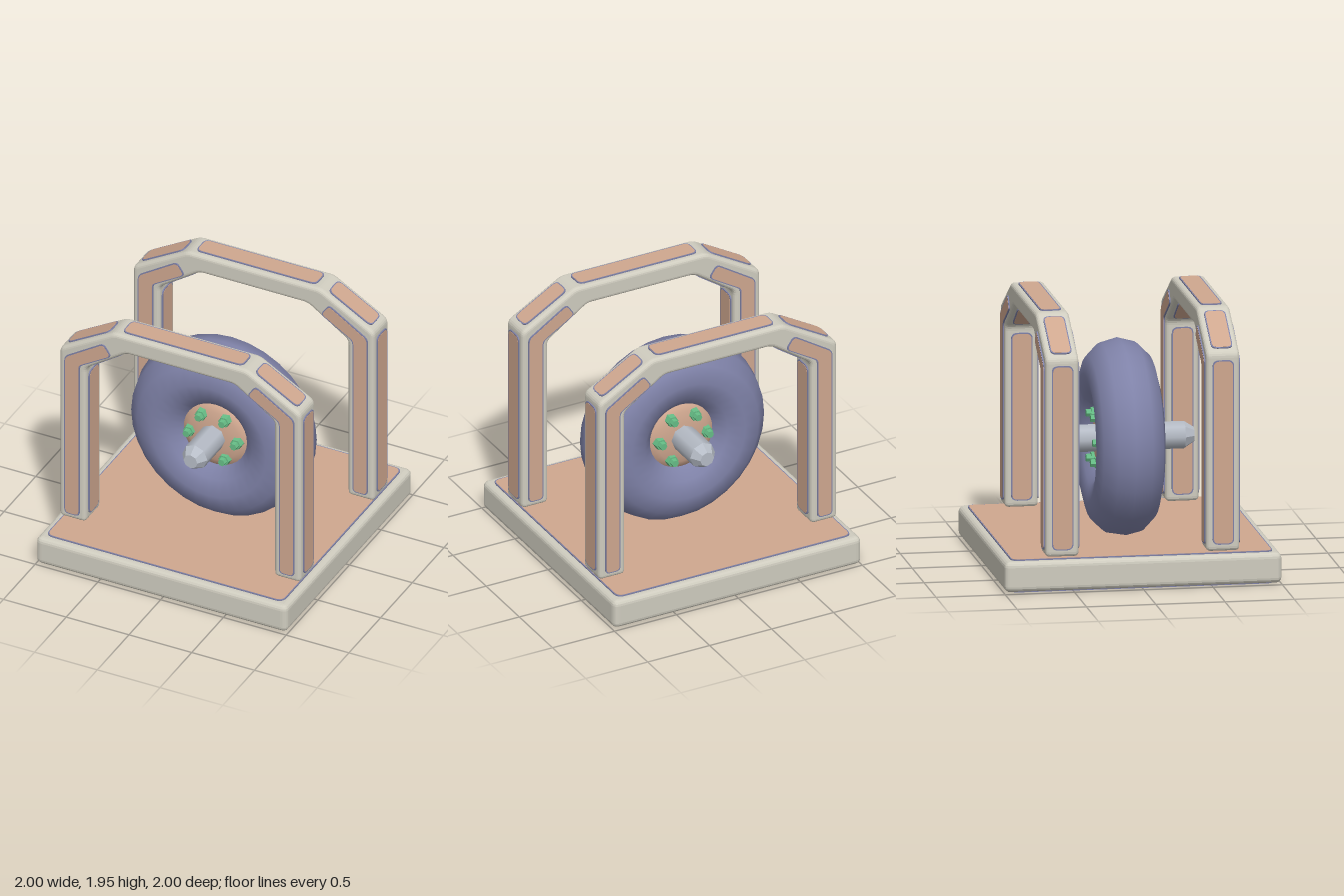
import * as THREE from 'three';

const mat = (name, color) => Object.assign(new THREE.MeshStandardMaterial({ color }), { name });
const V2 = (x, y) => new THREE.Vector2(x, y);

// Polygon with every corner rounded by about r
function roundedShape(pts, r) {
  const shape = new THREE.Shape();
  pts.forEach((p, i) => {
    const prev = pts[(i + pts.length - 1) % pts.length], next = pts[(i + 1) % pts.length];
    const a = p.clone().add(prev.clone().sub(p).setLength(r));
    const b = p.clone().add(next.clone().sub(p).setLength(r));
    if (i) shape.lineTo(a.x, a.y); else shape.moveTo(a.x, a.y);
    shape.quadraticCurveTo(p.x, p.y, b.x, b.y);
  });
  shape.closePath();
  return shape;
}

// Counter-clockwise polygon moved inward by d
function inset(pts, d) {
  return pts.map((p, i) => {
    const u = p.clone().sub(pts[(i + pts.length - 1) % pts.length]).normalize();
    const v = pts[(i + 1) % pts.length].clone().sub(p).normalize();
    const n = V2(-u.y - v.y, u.x + v.x);
    return p.clone().addScaledVector(n, d / (1 + u.dot(v)));
  });
}

const rect = (w, h) => [V2(-w / 2, -h / 2), V2(w / 2, -h / 2), V2(w / 2, h / 2), V2(-w / 2, h / 2)];

export function createModel() {
  const stone = mat('pale frame', 0xcfccbf);
  const tan = mat('tan panel', 0xcfa78f);
  const slate = mat('slate blue', 0x7f82a8);
  const steel = mat('steel', 0xb6bcc6);
  const green = mat('green bolt', 0x66bd86);

  const model = new THREE.Group();
  const add = (parent, name, geo, material) => {
    const mesh = new THREE.Mesh(geo, material);
    mesh.name = name;
    parent.add(mesh);
    return mesh;
  };
  const flat = (geo) => {
    const g = geo.toNonIndexed();
    g.computeVertexNormals();
    return g;
  };

  // Raised panel facing local +z: blue rim with a tan face
  const panel = (parent, name, pts, r) => {
    const g = new THREE.Group();
    g.name = name;
    const opts = { bevelEnabled: false, curveSegments: 5 };
    add(g, 'panelRim', new THREE.ExtrudeGeometry(roundedShape(pts, r), { ...opts, depth: 0.009 }), slate);
    const face = new THREE.ExtrudeGeometry(roundedShape(inset(pts, 0.008), r * 0.9), { ...opts, depth: 0.002 });
    add(g, 'panelFace', face, tan).position.z = 0.0085;
    parent.add(g);
    return g;
  };

  // Base slab with a panel above and below
  const slabShape = roundedShape(rect(2, 2), 0.05);
  const slab = new THREE.ExtrudeGeometry(slabShape, {
    depth: 0.14, bevelThickness: 0.04, bevelSize: 0.04, bevelOffset: -0.04, bevelSegments: 4, curveSegments: 5,
  });
  slab.translate(0, 0, -0.07).rotateX(-Math.PI / 2);
  add(model, 'baseSlab', slab, stone).position.y = 0.12;
  for (const s of [1, -1]) {
    const p = panel(model, s > 0 ? 'baseTopPanel' : 'baseBottomPanel', rect(1.89, 1.89), 0.06);
    p.rotation.x = -s * Math.PI / 2;
    p.position.y = 0.12 + s * 0.11;
  }

  // Arched frames, front and back
  const outline = [
    [0.96, 0.25], [0.96, 1.69], [0.53, 1.94], [-0.53, 1.94], [-0.96, 1.69], [-0.96, 0.25],
    [-0.75, 0.25], [-0.75, 1.57], [-0.43, 1.79], [0.43, 1.79], [0.75, 1.57], [0.75, 0.25],
  ].map(([x, y]) => V2(x, y));
  const elbow = [
    [0.795, 0.295], [0.915, 0.295], [0.915, 1.635], [0.605, 1.835], [0.54, 1.74], [0.795, 1.585],
  ].map(([x, y]) => V2(x, y));
  const elbowMirror = elbow.map((p) => V2(-p.x, p.y)).reverse();
  const beam = new THREE.ExtrudeGeometry(roundedShape(outline, 0.035), {
    depth: 0.18, bevelThickness: 0.03, bevelSize: 0.03, bevelOffset: -0.03, bevelSegments: 4, curveSegments: 4,
  });
  beam.translate(0, 0, -0.09);

  for (const side of [1, -1]) {
    const frame = new THREE.Group();
    frame.name = side > 0 ? 'frontFrame' : 'backFrame';
    frame.position.z = side * 0.58;
    model.add(frame);
    add(frame, 'archBeam', beam, stone);

    // Panels along the inner and outer edges
    outline.forEach((a, i) => {
      if (i === 5 || i === 11) return;
      const b = outline[(i + 1) % outline.length];
      const t = b.clone().sub(a);
      const p = panel(frame, i < 5 ? 'outerEdgePanel' : 'innerEdgePanel', rect(t.length() - 0.1, 0.155), 0.045);
      t.normalize();
      p.quaternion.setFromRotationMatrix(new THREE.Matrix4().makeBasis(
        new THREE.Vector3(t.x, t.y, 0), new THREE.Vector3(0, 0, 1), new THREE.Vector3(t.y, -t.x, 0)));
      p.position.set((a.x + b.x) / 2, (a.y + b.y) / 2, 0);
    });

    // Bent panels on both broad faces
    for (const s of [1, -1]) {
      for (const pts of [elbow, elbowMirror]) {
        const p = panel(frame, 'elbowPanel', pts, 0.035);
        p.rotation.y = s > 0 ? 0 : Math.PI;
        p.position.z = s * 0.12;
      }
    }
  }

  // Wheel
  const wheel = new THREE.Group();
  wheel.name = 'wheel';
  wheel.position.y = 0.9;
  model.add(wheel);
  add(wheel, 'tyre', new THREE.TorusGeometry(0.46, 0.25, 12, 32), slate);
  const axle = new THREE.CylinderGeometry(0.1, 0.1, 0.92, 8);
  add(wheel, 'axle', axle.rotateX(Math.PI / 2), steel);

  // Hub, axle tip and bolts on each side
  const domeGeo = new THREE.LatheGeometry(
    [V2(0.25, 0.12), V2(0.25, 0.14), V2(0.2, 0.16), V2(0.12, 0.178), V2(0, 0.185)], 32);
  const tipGeo = flat(new THREE.CylinderGeometry(0.055, 0.1, 0.07, 8));
  const nutGeo = flat(new THREE.CylinderGeometry(0.042, 0.05, 0.07, 6));
  const headGeo = flat(new THREE.CylinderGeometry(0.028, 0.03, 0.04, 6));
  for (const s of [1, -1]) {
    const half = new THREE.Group();
    half.name = s > 0 ? 'frontHub' : 'backHub';
    half.rotation.x = s * Math.PI / 2;
    wheel.add(half);
    add(half, 'hubDome', domeGeo, tan);
    add(half, 'axleTip', tipGeo, steel).position.y = 0.495;
    for (let i = 0; i < 6; i++) {
      const a = i * Math.PI / 3;
      const bolt = new THREE.Group();
      bolt.name = 'bolt';
      bolt.position.set(Math.cos(a) * 0.188, 0, Math.sin(a) * 0.188);
      bolt.rotation.y = Math.PI / 6;
      add(bolt, 'boltNut', nutGeo, green).position.y = 0.16;
      add(bolt, 'boltHead', headGeo, green).position.y = 0.21;
      half.add(bolt);
    }
  }
  return model;
}
